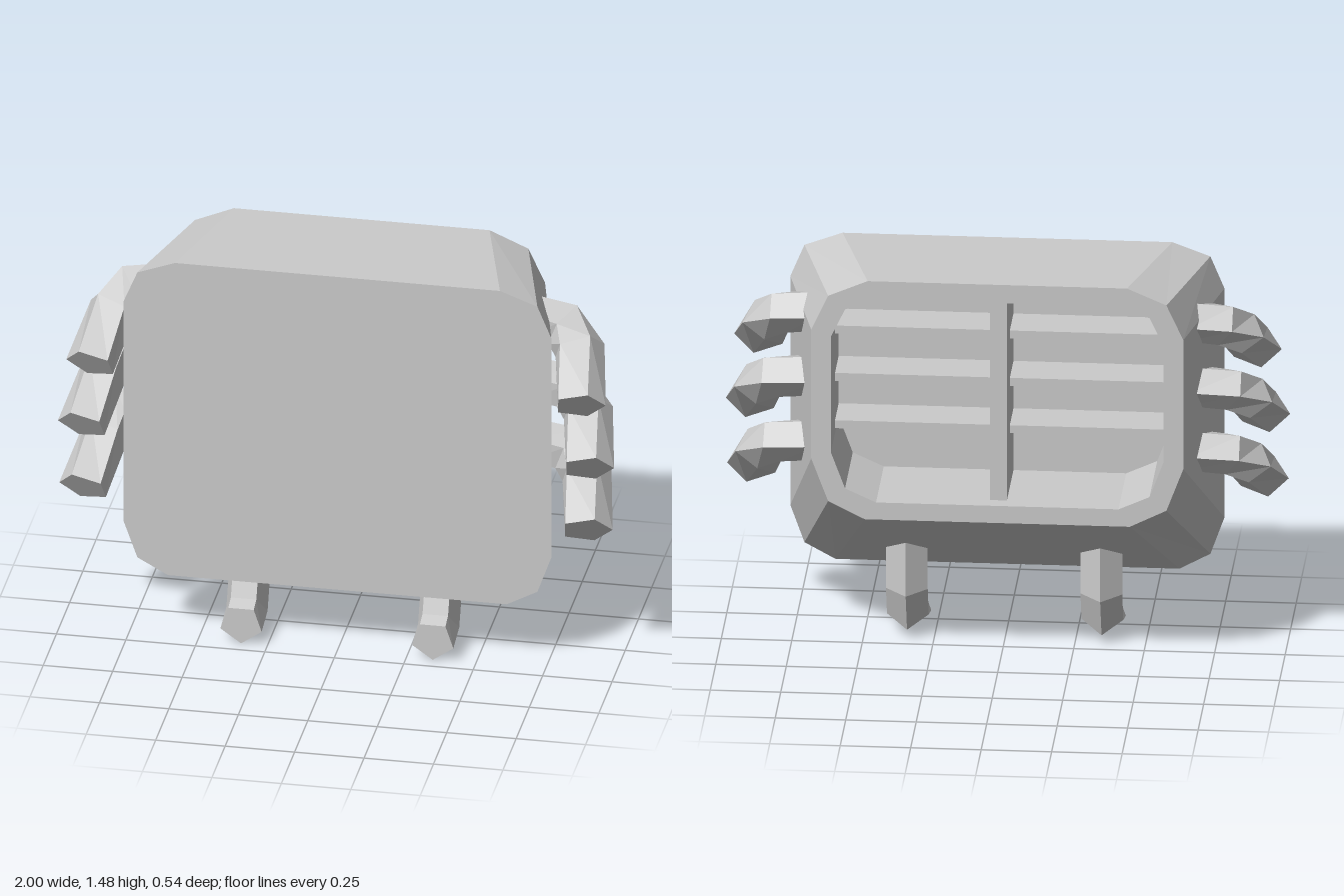
import * as THREE from 'three';

const material = new THREE.MeshStandardMaterial({ color: 0xcccccc, flatShading: true });
const V = (x, y, z) => new THREE.Vector3(x, y, z);

function makeMesh(name, geometry) {
  const mesh = new THREE.Mesh(geometry, material);
  mesh.name = name;
  return mesh;
}

// Joins a chain of equal-length loops with quads and closes both ends.
function loft(loops) {
  const pos = [];
  const tri = (...pts) => pts.forEach((p) => pos.push(p.x, p.y, p.z));
  const n = loops[0].length;
  for (let k = 0; k < loops.length - 1; k++) {
    const a = loops[k], b = loops[k + 1];
    for (let i = 0; i < n; i++) {
      const j = (i + 1) % n;
      tri(a[i], b[i], b[j]);
      tri(a[i], b[j], a[j]);
    }
  }
  const first = loops[0], last = loops[loops.length - 1];
  for (let i = 1; i < n - 1; i++) {
    tri(first[0], first[i], first[i + 1]);
    tri(last[0], last[i + 1], last[i]);
  }
  const g = new THREE.BufferGeometry();
  g.setAttribute('position', new THREE.Float32BufferAttribute(pos, 3));
  g.computeVertexNormals();
  return g;
}

// Symmetric outline, counterclockwise from the front; half runs bottom to top on +x.
function outline(half, z) {
  const right = half.map(([x, y]) => V(x, y, z));
  const left = half.map(([x, y]) => V(-x, y, z)).reverse();
  return [...right, ...left];
}

// Five-sided bar along a path; its ridge points to ref x direction of travel.
function bar(path, ref, width, height) {
  const dirs = path.slice(1).map((p, i) => p.clone().sub(path[i]).normalize());
  const rings = path.map((p, i) => {
    const before = dirs[Math.max(i - 1, 0)], after = dirs[Math.min(i, dirs.length - 1)];
    const t = before.clone().add(after).normalize();
    const miter = 1 / t.dot(after);
    const side = ref.clone().cross(t).normalize();
    const up = t.clone().cross(side);
    // Widen each joint only in the direction in which the path bends.
    const bend = after.clone().sub(before).normalize();
    const ring = [];
    for (let k = 0; k < 5; k++) {
      const a = (k / 5) * Math.PI * 2;
      const off = side.clone().multiplyScalar(Math.cos(a) * width)
        .addScaledVector(up, Math.sin(a) * height);
      off.addScaledVector(bend, off.dot(bend) * (miter - 1));
      ring.push(p.clone().add(off));
    }
    return ring;
  });
  return loft(rings.reverse());
}

function box(name, w, h, d, x, y, z) {
  const mesh = makeMesh(name, new THREE.BoxGeometry(w, h, d));
  mesh.position.set(x, y, z);
  return mesh;
}

export function createModel() {
  const model = new THREE.Group();
  model.name = 'shell';

  // Tapered body with a rim and an open cavity at the back
  const front = [[0.61, 0.25], [0.72, 0.31], [0.77, 0.45], [0.77, 1.32], [0.72, 1.44], [0.585, 1.49]];
  const back = [[0.47, 0.585], [0.6, 0.65], [0.66, 0.81], [0.66, 1.3], [0.6, 1.43], [0.46, 1.49]];
  const inner = [[0.43, 0.65], [0.54, 0.7], [0.59, 0.835], [0.59, 1.275], [0.54, 1.38], [0.42, 1.42]];
  const zFront = 0.19, zBack = -0.27, zWall = 0.08;
  model.add(makeMesh('body', loft([
    outline(front, zFront), outline(back, zBack), outline(inner, zBack), outline(inner, zWall),
  ])));

  // Upright divider and the shelves on both sides of it
  model.add(box('divider', 0.06, 0.77, 0.3, 0, 1.035, -0.065));
  for (const s of [1, -1]) {
    for (const y of [1.23, 1.05, 0.87]) {
      model.add(box('shelf', 0.57, 0.03, 0.17, s * 0.31, y, 0));
    }
  }

  for (const s of [1, -1]) {
    // Three bent ribs on each flank, reaching out, forward and down
    [0, 0.03, 0.025].forEach((out, i) => {
      const drop = i * 0.245;
      const path = [
        [0.66, 1.285, -0.03], [0.78, 1.27, -0.02], [0.84, 1.215, 0.04], [0.88, 1.085, 0.235],
      ].map(([x, y, z], k) => V(s * (x + (k ? out : 0)), y - drop, z));
      model.add(makeMesh('rib', bar(path, V(0, s, 0), 0.093, 0.077)));
    });

    // Hooked foot under the body
    const foot = [[0.45, 0.063], [0.21, 0.063], [0.11, 0.105], [0.085, 0.15], [0.085, 0.2]];
    const path = [foot[0], foot[1], foot[2], foot[4]].map(([y, z]) => V(s * 0.345, y, z));
    const g = bar(path, V(1, 0, 0), 0.078, 0.078);
    // Cut the toe flat along the front plane
    const p = g.attributes.position;
    for (let i = 0; i < p.count; i++) {
      if (p.getZ(i) > 0.165 && p.getY(i) < 0.2) p.setZ(i, 0.2);
    }
    g.computeVertexNormals();
    model.add(makeMesh('foot', g));
  }
  return model;
}
